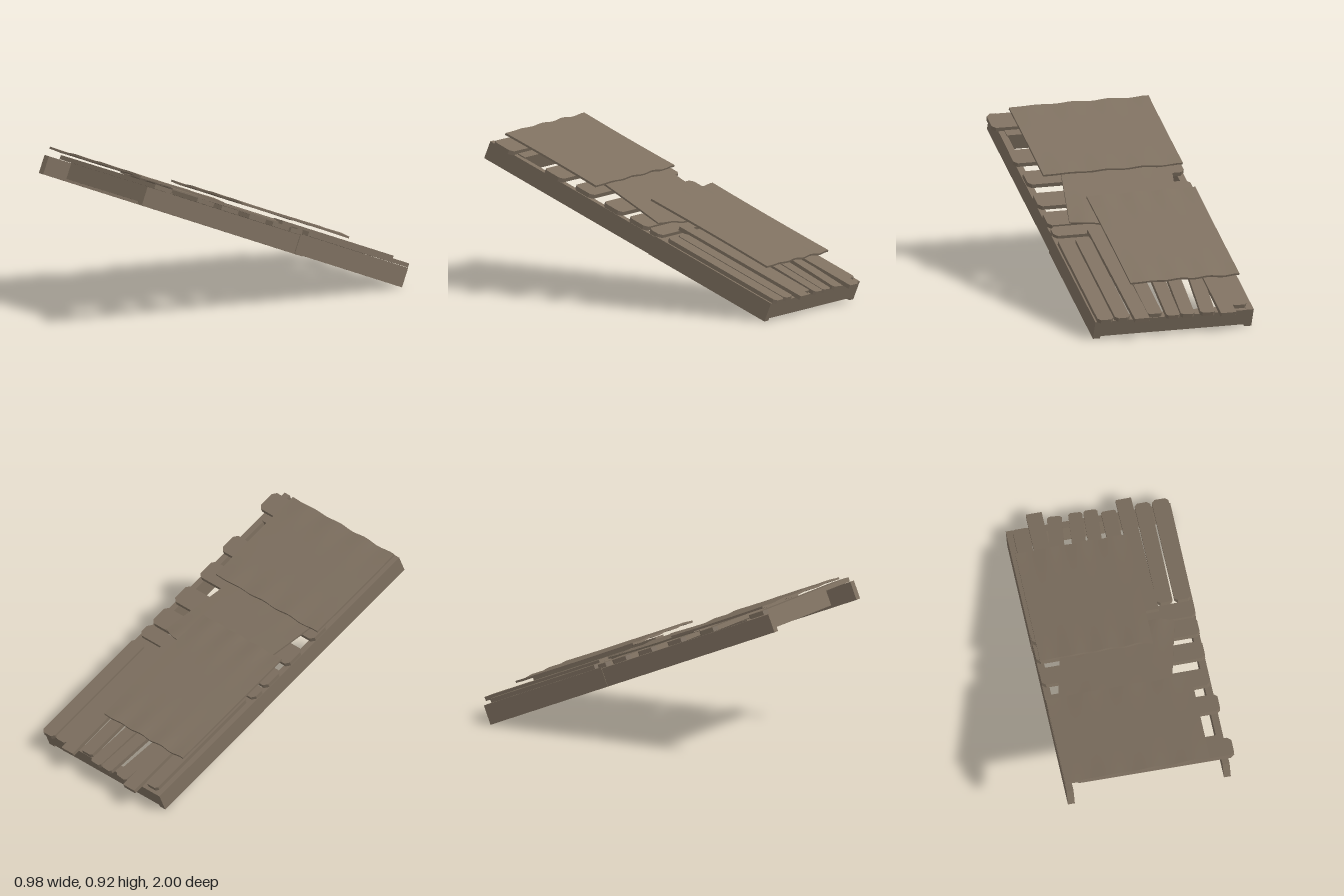
import * as THREE from 'three';

export function createModel() {
  const model = new THREE.Group();
  model.name = 'slopedWoodenPanel';
  const wood = new THREE.MeshStandardMaterial({ color: 0x7d6f5f });
  wood.name = 'weatheredWood';

  // Tilted space: x across, y above the rail underside, z up the slope from the low end
  const panel = new THREE.Group();
  panel.name = 'panel';
  panel.position.set(0, 0, -0.88);
  panel.rotation.x = -Math.PI / 8;
  model.add(panel);

  function add(name, geometry, x, y, z, turn = 0) {
    const mesh = new THREE.Mesh(geometry, wood);
    mesh.name = name;
    mesh.position.set(x, y, z);
    mesh.rotation.y = turn;
    panel.add(mesh);
    return mesh;
  }

  // Box between given limits
  function beam(name, x0, x1, y0, y1, z0, z1) {
    add(name, new THREE.BoxGeometry(x1 - x0, y1 - y0, z1 - z0),
      (x0 + x1) / 2, (y0 + y1) / 2, (z0 + z1) / 2);
  }

  // Flat board with clipped corners, underside at y = 0
  function board(width, length, thickness, clip) {
    const w = width / 2, l = length / 2;
    const shape = new THREE.Shape([
      [-w + clip, -l], [w - clip, -l], [w, -l + clip], [w, l - clip],
      [w - clip, l], [-w + clip, l], [-w, l - clip], [-w, -l + clip],
    ].map(([x, y]) => new THREE.Vector2(x, y)));
    const geometry = new THREE.ExtrudeGeometry(shape, { depth: thickness, bevelEnabled: false });
    return geometry.rotateX(-Math.PI / 2);
  }

  // Thin sheet with gently rippled ends and a slight crown
  function sheet(width, length, thickness, ripple) {
    const geometry = new THREE.BoxGeometry(width, thickness, length, 24, 1, 12);
    const p = geometry.attributes.position;
    for (let i = 0; i < p.count; i++) {
      const u = p.getX(i) / width, v = p.getZ(i) / length;
      const edge = 4 * v * v;
      p.setY(i, p.getY(i) + ripple * edge * Math.sin(u * 22) + 0.006 * (0.5 - 2 * u * u));
      p.setZ(i, p.getZ(i) + ripple * edge * Math.sin(u * 26 + 1));
    }
    geometry.computeVertexNormals();
    return geometry;
  }

  // Side rails, each in an upper and a lower length
  beam('upperRightRail', -0.49, -0.45, 0, 0.108, 0.84, 2.035);
  beam('upperLeftRail', 0.41, 0.45, 0, 0.108, 0.84, 2.035);
  beam('lowerRightRail', -0.493, -0.45, 0, 0.116, 0, 0.84);
  beam('lowerLeftRail', 0.413, 0.456, 0, 0.116, 0, 0.84);

  // Crossbeams
  for (const [name, z] of [['lowCrossbeam', 0], ['middleCrossbeam', 0.76], ['highCrossbeam', 1.81]]) {
    beam(name, -0.455, 0.415, 0.015, 0.115, z, z + 0.05);
  }

  // Crosswise slats on the upper half: left x, right x, slope position, width, turn
  const crossSlats = [
    [-0.43, 0.488, 1.925, 0.135, -0.01],
    [-0.45, 0.467, 1.578, 0.13, -0.005],
    [-0.49, 0.447, 1.372, 0.13, 0],
    [-0.49, 0.452, 1.161, 0.13, 0],
    [-0.49, 0.452, 0.977, 0.13, 0],
    [-0.49, 0.45, 0.853, 0.09, 0],
  ];
  crossSlats.forEach(([x0, x1, z, width, turn], i) => {
    add('crossSlat' + (i + 1), board(x1 - x0, width, 0.025, 0.022), (x0 + x1) / 2, 0.11, z, turn);
  });

  // Lengthwise slats on the lower half: centre x, width, low end, high end, height, turn, clip
  const longSlats = [
    [-0.412, 0.09, 0.02, 0.79, 0.116, 0, 0.015],
    [-0.318, 0.092, -0.065, 0.76, 0.132, 0, 0.003],
    [-0.247, 0.085, -0.03, 0.77, 0.118, -0.1, 0.012],
    [-0.115, 0.08, -0.03, 0.77, 0.118, -0.07, 0.012],
    [-0.02, 0.08, -0.03, 0.77, 0.118, -0.05, 0.012],
    [0.1, 0.085, 0.0, 0.77, 0.118, 0, 0.01],
    [0.202, 0.09, -0.055, 0.82, 0.134, -0.012 * -1, 0.003],
    [0.297, 0.09, -0.015, 0.765, 0.118, 0, 0.018],
    [0.4, 0.095, -0.02, 0.765, 0.118, 0, 0.018],
  ];
  longSlats.forEach(([x, width, z0, z1, y, turn, clip], i) => {
    // A turn is given as drift of the low end towards +x when negative
    add('longSlat' + (i + 1), board(width, z1 - z0, 0.024, clip), x, y, (z0 + z1) / 2, turn);
  });

  // Three overlapping thin sheets
  add('upperSheet', sheet(0.835, 0.655, 0.012, 0.003), -0.073, 0.153, 1.685);
  add('middleSheet', sheet(0.645, 0.72, 0.01, 0.004), -0.06, 0.142, 1.2, -0.2);
  add('lowerSheet', sheet(0.65, 0.84, 0.012, 0.003), -0.15, 0.183, 0.665);

  return model;
}
